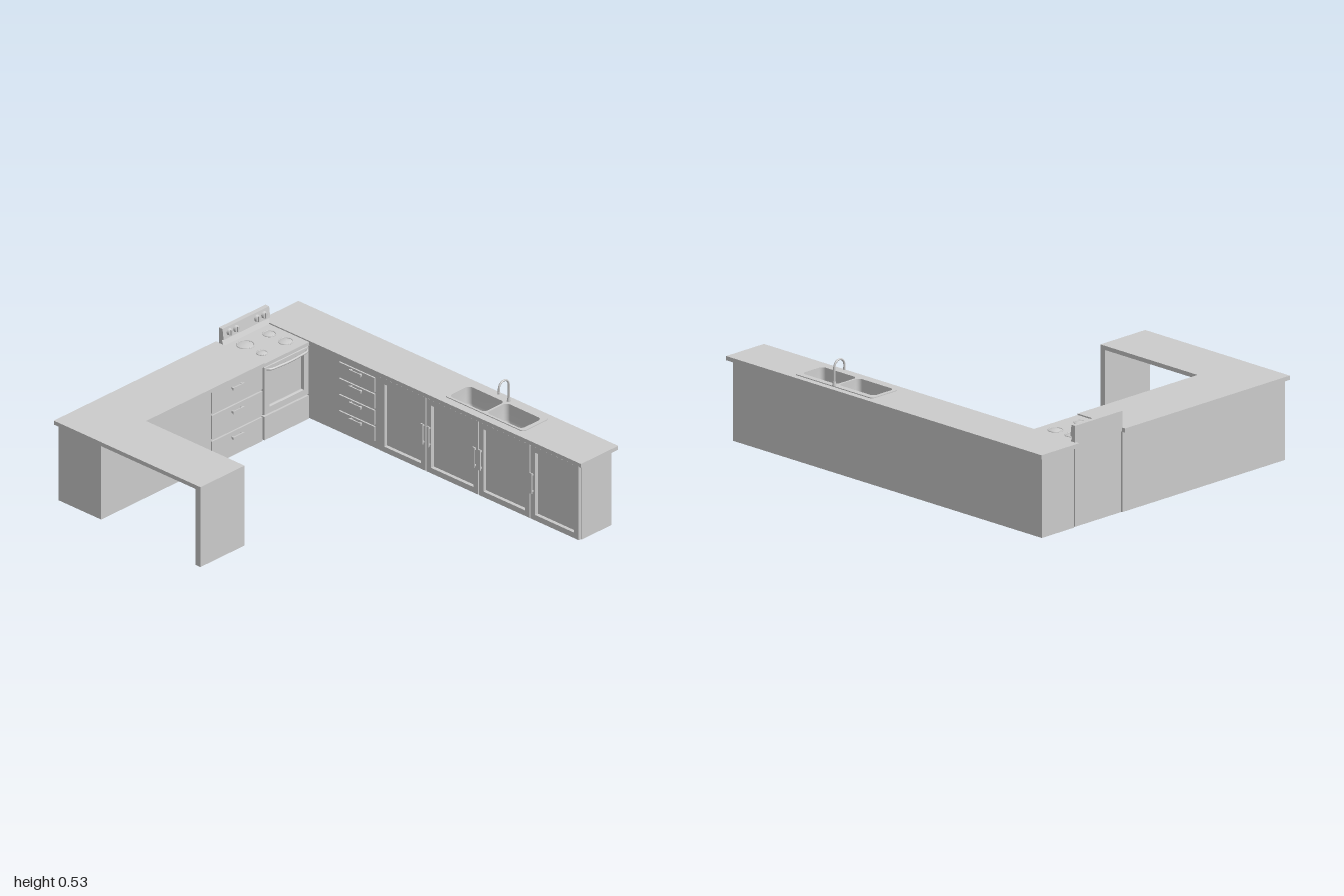
import * as THREE from 'three';

const mat = new THREE.MeshStandardMaterial({ color: 0xcccccc });
const matDouble = new THREE.MeshStandardMaterial({ color: 0xcccccc, side: THREE.DoubleSide });

function add(parent, name, geo, x = 0, y = 0, z = 0, material = mat) {
  const m = new THREE.Mesh(geo, material);
  m.name = name;
  m.position.set(x, y, z);
  parent.add(m);
  return m;
}

// Box given by its limits
function block(parent, name, x0, x1, y0, y1, z0, z1) {
  return add(parent, name, new THREE.BoxGeometry(x1 - x0, y1 - y0, z1 - z0),
    (x0 + x1) / 2, (y0 + y1) / 2, (z0 + z1) / 2);
}

// Rectangle outline, with optional corner radius
function rect(T, x0, x1, y0, y1, r = 0) {
  const s = new T();
  if (!r) {
    s.moveTo(x0, y0).lineTo(x1, y0).lineTo(x1, y1).lineTo(x0, y1).closePath();
    return s;
  }
  s.absarc(x1 - r, y0 + r, r, -Math.PI / 2, 0);
  s.absarc(x1 - r, y1 - r, r, 0, Math.PI / 2);
  s.absarc(x0 + r, y1 - r, r, Math.PI / 2, Math.PI);
  s.absarc(x0 + r, y0 + r, r, Math.PI, Math.PI * 1.5);
  s.closePath();
  return s;
}

// Horizontal slab with holes; the shape's y is -z
function slab(parent, name, shape, holes, y0, y1) {
  shape.holes.push(...holes);
  const g = new THREE.ExtrudeGeometry(shape, { depth: y1 - y0, bevelEnabled: false, curveSegments: 6 });
  g.rotateX(-Math.PI / 2);
  return add(parent, name, g, 0, y0, 0);
}

// Bar handle on two posts, facing +z
function handle(parent, name, x, y, z, length, vertical) {
  const g = new THREE.Group();
  g.name = name;
  add(g, 'bar', new THREE.BoxGeometry(length, 0.013, 0.006), 0, 0, 0.011);
  for (const s of [-1, 1]) add(g, 'post', new THREE.BoxGeometry(0.008, 0.01, 0.01), s * length * 0.4, 0, 0.004);
  g.position.set(x, y, z);
  if (vertical) g.rotation.z = Math.PI / 2;
  parent.add(g);
}

// Door with a sloping frame around a sunken panel, facing +z
function framedDoor(parent, name, x0, x1, y0, y1, z, rim = 0.03) {
  const g = new THREE.Group();
  g.name = name;
  const b = 0.01, o = 0.002;
  const shape = rect(THREE.Shape, x0 + o, x1 - o, y0 + o, y1 - o);
  shape.holes.push(rect(THREE.Path, x0 + rim, x1 - rim, y0 + rim, y1 - rim));
  add(g, 'frame', new THREE.ExtrudeGeometry(shape,
    { depth: 0.004, bevelThickness: b, bevelSize: o, bevelSegments: 1 }), 0, 0, z - 0.004 - b);
  block(g, 'panel', x0 + rim / 2, x1 - rim / 2, y0 + rim / 2, y1 - rim / 2, z - 0.024, z - 0.016);
  parent.add(g);
}

// Sink basin lofted through shrinking rounded outlines
function basin(parent, x0, x1, z0, z1, top, depth) {
  const cx = (x0 + x1) / 2, cz = (z0 + z1) / 2;
  const outline = rect(THREE.Shape, x0 - cx, x1 - cx, z0 - cz, z1 - cz, 0.022).getPoints(6);
  const n = outline.length, pos = [], idx = [];
  const rings = [[1, 0], [0.97, 0.8], [0.92, 0.95], [0.85, 1], [0, 1]];
  for (const [s, d] of rings) for (const p of outline) pos.push(p.x * s, -d * depth, p.y * s);
  for (let r = 0; r < rings.length - 1; r++) for (let i = 0; i < n; i++) {
    const a = r * n + i, b = r * n + (i + 1) % n;
    idx.push(a, b, a + n, b, b + n, a + n);
  }
  const g = new THREE.BufferGeometry();
  g.setAttribute('position', new THREE.Float32BufferAttribute(pos, 3));
  g.setIndex(idx);
  g.computeVertexNormals();
  add(parent, 'sinkBasin', g, cx, top, cz, matDouble);
}

function buildBackRun() {
  const run = new THREE.Group();
  run.name = 'backCounterRun';
  const sinks = [[0.123, 0.346], [0.357, 0.578]];
  const holes = () => sinks.map(([a, b]) => rect(THREE.Path, a, b, 0.605, 0.737, 0.022));
  slab(run, 'countertop', rect(THREE.Shape, -1, 1, 0.553, 0.795), holes(), 0.388, 0.408);
  slab(run, 'sinkRim', rect(THREE.Shape, 0.105, 0.6, 0.593, 0.765, 0.02), holes(), 0.408, 0.412);
  for (const [a, b] of sinks) basin(run, a, b, -0.737, -0.605, 0.411, 0.1);

  // Open-topped carcass so the basins can hang inside
  const carcass = new THREE.BoxGeometry(1.96, 0.383, 0.193);
  const index = Array.from(carcass.index.array);
  index.splice(12, 6);
  carcass.setIndex(index);
  carcass.clearGroups();
  add(run, 'cabinetBody', carcass, 0, 0.1965, -0.6765, matDouble);

  // Drawers
  const front = -0.558;
  block(run, 'drawerSurround', -0.98, -0.27, 0.005, 0.388, -0.582, front - 0.008);
  for (let i = 0; i < 4; i++) {
    const y = 0.328 - i * 0.083;
    block(run, 'drawer', -0.521, -0.297, y - 0.037, y + 0.037, front - 0.012, front);
    handle(run, 'drawerHandle', -0.408, y + 0.025, front, 0.075);
  }
  // Doors
  for (const [a, b] of [[-0.265, 0.025], [0.028, 0.352], [0.355, 0.675], [0.678, 0.98]])
    framedDoor(run, 'cabinetDoor', a, b, 0.008, 0.386, front);
  for (const x of [0.01, 0.048, 0.335, 0.37, 0.692]) handle(run, 'doorHandle', x, 0.198, front, 0.105, true);

  // Faucet
  const path = new THREE.CurvePath();
  const v = (y, z) => new THREE.Vector3(0.352, y, z);
  const pts = [v(0.41, -0.757), v(0.46, -0.757), v(0.495, -0.757)];
  for (let i = 1; i <= 8; i++) {
    const a = Math.PI * i / 8;
    pts.push(v(0.495 + 0.034 * Math.sin(a), -0.7245 - 0.0325 * Math.cos(a)));
  }
  pts.push(v(0.477, -0.692));
  add(run, 'faucetSpout', new THREE.TubeGeometry(new THREE.CatmullRomCurve3(pts), 40, 0.005, 8));
  add(run, 'faucetTip', new THREE.CylinderGeometry(0.006, 0.006, 0.012, 12), 0.352, 0.478, -0.692);
  add(run, 'faucetBase', new THREE.CylinderGeometry(0.007, 0.01, 0.02, 12), 0.352, 0.42, -0.757);
  return run;
}

// Left run, built facing +z: local x is -z of the model, local z is x
function buildSideRun() {
  const run = new THREE.Group();
  run.name = 'sideCounterRun';
  run.rotation.y = Math.PI / 2;
  block(run, 'countertop', -0.795, 0.26, 0.388, 0.408, -1, -0.698);
  block(run, 'cabinetBody', -0.785, 0.257, 0.005, 0.388, -0.98, -0.713);
  for (const [y0, y1] of [[0.275, 0.385], [0.145, 0.264], [0.01, 0.132]]) {
    block(run, 'drawer', -0.073, 0.254, y0, y1, -0.72, -0.704);
    handle(run, 'drawerHandle', 0.087, y1 - 0.028, -0.704, 0.073);
  }
  return run;
}

// Cooker, in the same turned frame as the side run
function buildStove() {
  const s = new THREE.Group();
  s.name = 'stove';
  s.rotation.y = Math.PI / 2;
  const x0 = 0.261, x1 = 0.556;
  block(s, 'stoveBody', x0, x1, 0.005, 0.385, -0.975, -0.725);
  block(s, 'cooktop', x0, x1, 0.385, 0.402, -0.975, -0.7);

  // Control panel with a sloping foot
  const profile = new THREE.Shape([[-0.98, 0.39], [-0.945, 0.39], [-0.962, 0.43], [-0.95, 0.433],
    [-0.957, 0.487], [-0.98, 0.487]].map(([z, y]) => new THREE.Vector2(-z, y)));
  const panel = new THREE.ExtrudeGeometry(profile, { depth: x1 - x0 + 0.008, bevelEnabled: false });
  panel.rotateY(Math.PI / 2);
  add(s, 'controlPanel', panel, x0 - 0.004, 0, 0);
  for (const x of [0.297, 0.34, 0.476, 0.522]) {
    const k = add(s, 'knob', new THREE.CylinderGeometry(0.014, 0.017, 0.012, 20), x, 0.46, -0.948);
    k.rotation.x = Math.PI / 2;
    block(s, 'knobGrip', x - 0.003, x + 0.003, 0.447, 0.473, -0.945, -0.937);
  }

  // Burners
  for (const [x, z, r] of [[0.484, -0.882, 0.032], [0.484, -0.78, 0.036], [0.335, -0.888, 0.043], [0.33, -0.78, 0.028]]) {
    const ring = new THREE.TorusGeometry(r - 0.003, 0.003, 6, 28);
    ring.rotateX(Math.PI / 2);
    add(s, 'burnerRing', ring, x, 0.403, z);
    const dome = [[r - 0.004, 0], [r * 0.7, 0.003], [r * 0.35, 0.005], [0, 0.006]].map(p => new THREE.Vector2(...p));
    add(s, 'burner', new THREE.LatheGeometry(dome, 28), x, 0.402, z);
  }

  // Oven door, bowed handle and storage drawer
  framedDoor(s, 'ovenDoor', x0 + 0.003, x1 - 0.003, 0.136, 0.38, -0.702, 0.033);
  const bow = new THREE.CatmullRomCurve3([[0.28, -0.703], [0.29, -0.69], [0.35, -0.682], [0.41, -0.679],
    [0.47, -0.682], [0.53, -0.69], [0.54, -0.703]].map(([x, z]) => new THREE.Vector3(x, 0.368, z)));
  add(s, 'ovenHandle', new THREE.TubeGeometry(bow, 32, 0.006, 8));
  block(s, 'stoveDrawer', x0 + 0.003, x1 - 0.003, 0.01, 0.129, -0.73, -0.702);
  return s;
}

export function createModel() {
  const kitchen = new THREE.Group();
  kitchen.name = 'kitchen';
  kitchen.add(buildBackRun(), buildSideRun(), buildStove());

  // Breakfast bar: a thin top that turns down into an end panel
  const bar = new THREE.Shape([[-0.7, 0.388], [-0.112, 0.388], [-0.112, 0], [-0.082, 0], [-0.082, 0.408],
    [-0.7, 0.408]].map(p => new THREE.Vector2(...p)));
  add(kitchen, 'breakfastBar', new THREE.ExtrudeGeometry(bar, { depth: 0.287, bevelEnabled: false }), 0, 0, 0.509);
  return kitchen;
}
